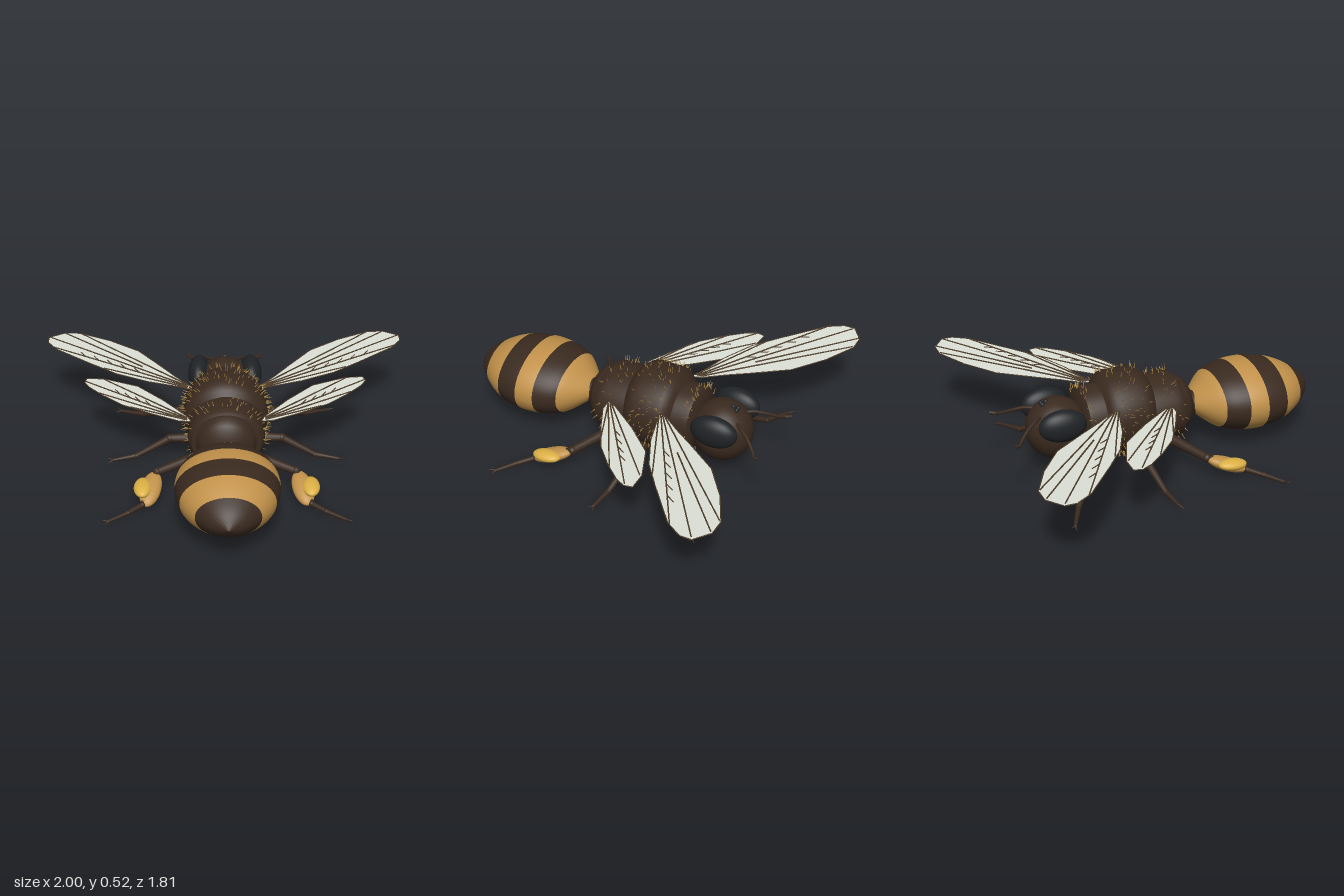
import * as THREE from 'three';
import { mergeGeometries, toCreasedNormals } from 'three/addons/utils/BufferGeometryUtils.js';

const mat = (name, color, extra = {}) => Object.assign(new THREE.MeshStandardMaterial({ color, ...extra }), { name });
const V = (a) => new THREE.Vector3(...a);

export function createModel() {
  const bee = new THREE.Group();
  bee.name = 'bee';
  const brown = mat('body brown', 0x3a2a1f);
  const amber = mat('amber', 0xc1914a);
  const black = mat('eye black', 0x202326);
  const pollen = mat('pollen yellow', 0xdcb045);
  const membrane = mat('wing membrane', 0xdde1d6, { side: THREE.DoubleSide });
  const vein = mat('vein brown', 0x4c3b28);
  const hair = mat('hair tan', 0xa8853f);

  const add = (name, geo, material, parent = bee) => {
    const m = new THREE.Mesh(geo, material);
    m.name = name;
    parent.add(m);
    return m;
  };

  // Body of revolution along z; profile holds [z, radius] pairs
  const turned = (name, profile, cy, sx, sy, material) => {
    const g = new THREE.LatheGeometry(profile.map(([z, r]) => new THREE.Vector2(r, z)), 48);
    g.rotateX(Math.PI / 2).scale(sx, sy, 1).translate(0, cy, 0);
    return add(name, toCreasedNormals(g, 0.6), material);
  };
  const ball = (name, c, r, material, parent, tilt = [0, 0, 0]) => {
    const m = add(name, new THREE.SphereGeometry(1, 32, 20), material, parent);
    m.position.set(...c);
    m.scale.set(...r);
    m.rotation.set(...tilt);
    return m;
  };
  // Tapered round rod between two points, open at the ends
  const rodGeo = (a, b, r0, r1, sides = 14) => {
    const p = V(a), d = V(b).sub(p);
    const g = new THREE.CylinderGeometry(r1, r0, d.length(), sides, 1, true);
    g.translate(0, d.length() / 2, 0);
    g.applyQuaternion(new THREE.Quaternion().setFromUnitVectors(new THREE.Vector3(0, 1, 0), d.normalize()));
    return g.translate(p.x, p.y, p.z);
  };

  // Abdomen: one smooth outline cut into alternating bands
  const outline = new THREE.SplineCurve([[0.21, 0.06], [0.25, 0.115], [0.335, 0.205], [0.43, 0.247], [0.53, 0.26],
    [0.63, 0.247], [0.72, 0.211], [0.8, 0.15], [0.86, 0.085], [0.905, 0]].map((p) => new THREE.Vector2(...p))).getPoints(180);
  const radiusAt = (z) => {
    const i = Math.max(1, outline.findIndex((p) => p.x >= z));
    const a = outline[i - 1], b = outline[i];
    return a.y + (b.y - a.y) * (z - a.x) / (b.x - a.x);
  };
  const cuts = [0.21, 0.335, 0.45, 0.552, 0.672, 0.79, 0.905];
  for (let i = 0; i < 6; i++) {
    const prof = [];
    for (let k = 0; k <= 10; k++) {
      const z = cuts[i] + (cuts[i + 1] - cuts[i]) * k / 10;
      prof.push([z, i === 5 && k === 10 ? 0 : radiusAt(z)]);
    }
    turned('abdomenBand' + (i + 1), prof, 0.25, 1, 0.7, i % 2 ? brown : amber);
  }

  // Waist and thorax segments
  turned('waist', [[0.12, 0.065], [0.235, 0.065]], 0.245, 1, 1, brown);
  turned('rearThorax', [[0.05, 0.165], [0.11, 0.164], [0.145, 0.153], [0.17, 0.132], [0.19, 0.1], [0.203, 0.05], [0.204, 0]], 0.262, 0.97, 0.97, brown);
  turned('backThorax', [[-0.1, 0.195], [-0.04, 0.2], [0.06, 0.2], [0.1, 0.196], [0.12, 0.18], [0.125, 0.14]], 0.265, 1, 0.88, brown);
  turned('middleThorax', [[-0.315, 0.155], [-0.295, 0.19], [-0.265, 0.217], [-0.24, 0.224], [-0.12, 0.224], [-0.09, 0.217], [-0.06, 0.193], [-0.04, 0.165]],
    0.284, 1, 0.965, brown);
  turned('collar', [[-0.415, 0], [-0.413, 0.14], [-0.4, 0.162], [-0.38, 0.166], [-0.27, 0.17]], 0.275, 1, 1, brown);

  // Short bristles standing out from the thorax
  let seed = 7;
  const rnd = () => (seed = (seed * 16807) % 2147483647) / 2147483647;
  const bristles = [];
  const furRing = (count, z0, z1, rx, ry, cy) => {
    for (let i = 0; i < count; i++) {
      const a = rnd() * Math.PI * 2, z = z0 + (z1 - z0) * rnd(), len = 0.015 + 0.02 * rnd();
      const c = Math.cos(a), s = Math.sin(a), lean = (rnd() - 0.5) * 0.024;
      bristles.push(rodGeo([c * (rx - 0.006), cy + s * (ry - 0.006), z],
        [c * (rx + len), cy + s * (ry + len), z + lean], 0.0028, 0.0008, 12));
    }
  };
  furRing(270, -0.27, -0.09, 0.22, 0.212, 0.284);
  furRing(90, -0.03, 0.11, 0.197, 0.173, 0.265);
  furRing(60, -0.41, -0.37, 0.163, 0.163, 0.275);
  add('thoraxHair', mergeGeometries(bristles), hair);

  // Head with simple eyes on the crown
  ball('head', [0, 0.25, -0.53], [0.155, 0.162, 0.16], brown);
  [[-0.011, -0.605], [0.011, -0.605], [0, -0.582]].forEach(([x, z]) =>
    ball('simpleEye', [x, z < -0.6 ? 0.394 : 0.403, z], [0.012, 0.012, 0.012], black));

  // Wing: flat membrane rising outward, with an outline and veins on top
  const wing = (name, s, pts, veins, y0) => {
    const g = new THREE.Group();
    g.name = name;
    bee.add(g);
    const lift = (x) => y0 + 0.03 * Math.abs(x);
    const shape = new THREE.Shape(pts.map(([x, z]) => new THREE.Vector2(s * x, -z)));
    const sheet = new THREE.ShapeGeometry(shape).rotateX(-Math.PI / 2);
    const pos = sheet.attributes.position;
    for (let i = 0; i < pos.count; i++) pos.setY(i, lift(pos.getX(i)));
    sheet.computeVertexNormals();
    add('membrane', sheet, membrane, g);
    const strip = ([x0, z0], [x1, z1], r, up = 0.0045) =>
      rodGeo([s * x0, lift(x0) + up, z0], [s * x1, lift(x1) + up, z1], r, r * 0.8);
    const rods = pts.map((p, i) => strip(p, pts[(i + 1) % pts.length], 0.003, 0));
    veins.forEach(([a, b, barbs]) => {
      rods.push(strip(a, b, 0.004));
      for (let k = 0; k < barbs; k++) {
        const t = 0.35 + 0.1 * k;
        const p = [a[0] + (b[0] - a[0]) * t, a[1] + (b[1] - a[1]) * t];
        rods.push(strip(p, [p[0] + 0.03, p[1] - 0.05], 0.003));
      }
    });
    add('veins', mergeGeometries(rods), vein, g);
  };
  const foreOutline = [[0.18, -0.25], [0.2, -0.31], [0.27, -0.4], [0.36, -0.53], [0.48, -0.695], [0.65, -0.82], [0.82, -0.905],
    [0.91, -0.905], [0.995, -0.845], [0.995, -0.785], [0.94, -0.7], [0.72, -0.52], [0.59, -0.42], [0.41, -0.335], [0.23, -0.28]];
  const foreVeins = [[[0.2, -0.3], [0.82, -0.9], 0], [[0.2, -0.29], [0.985, -0.84], 0], [[0.45, -0.5], [0.91, -0.9], 0],
    [[0.2, -0.28], [0.96, -0.72], 5], [[0.2, -0.27], [0.66, -0.475], 0]];
  const hindOutline = [[0.18, 0.03], [0.2, -0.02], [0.33, -0.19], [0.47, -0.34], [0.65, -0.415], [0.75, -0.42], [0.76, -0.375],
    [0.73, -0.32], [0.65, -0.23], [0.54, -0.13], [0.38, -0.04], [0.245, 0.025]];
  const hindVeins = [[[0.2, 0], [0.66, -0.41], 0], [[0.2, 0.01], [0.755, -0.38], 4], [[0.2, 0.02], [0.67, -0.25], 0], [[0.2, 0.02], [0.5, -0.105], 0]];

  // Leg: rods through the joints, rounded knees and a forked claw
  const leg = (name, joints, radii) => {
    const g = new THREE.Group();
    g.name = name;
    bee.add(g);
    joints.forEach((j, i) => {
      ball('joint', j, Array(3).fill(radii[i] * 1.1), brown, g);
      if (i) add('segment', rodGeo(joints[i - 1], j, radii[i - 1], radii[i]), brown, g);
    });
    const end = V(joints.at(-1)), dir = end.clone().sub(V(joints.at(-2))).normalize();
    for (const k of [-1, 1]) {
      const tip = end.clone().addScaledVector(dir, 0.028).add(new THREE.Vector3(-dir.z * k * 0.013, k > 0 ? 0.01 : -0.004, dir.x * k * 0.013));
      add('claw', rodGeo(end.toArray(), tip.toArray(), 0.006, 0.002), brown, g);
    }
    return g;
  };

  for (const s of [1, -1]) {
    const side = s > 0 ? 'left' : 'right';
    const m = (list) => list.map(([x, y, z]) => [s * x, y, z]);
    ball(side + 'Eye', [s * 0.143, 0.325, -0.545], [0.059, 0.085, 0.124], black, bee, [0, s * 0.06, 0]);
    const feeler = new THREE.CatmullRomCurve3(m([[0.05, 0.35, -0.62], [0.085, 0.348, -0.665], [0.12, 0.33, -0.715],
      [0.165, 0.302, -0.765], [0.195, 0.29, -0.79], [0.205, 0.296, -0.82]]).map(V));
    add(side + 'Antenna', new THREE.TubeGeometry(feeler, 24, 0.0085, 12), brown);
    wing(side + 'Forewing', s, foreOutline, foreVeins, 0.365);
    wing(side + 'Hindwing', s, hindOutline, hindVeins, 0.332);
    leg(side + 'Foreleg', m([[0.1, 0.18, -0.36], [0.26, 0.15, -0.425], [0.45, 0.037, -0.585], [0.59, 0.02, -0.655]]), [0.027, 0.021, 0.014, 0.008]);
    leg(side + 'MiddleLeg', m([[0.13, 0.125, -0.17], [0.3, 0.125, -0.165], [0.48, 0.034, -0.137], [0.603, 0.018, -0.12]]), [0.03, 0.021, 0.014, 0.008]);
    const hind = leg(side + 'HindLeg', m([[0.15, 0.135, 0.04], [0.36, 0.105, 0.145], [0.43, 0.03, 0.34], [0.5, 0.022, 0.4], [0.594, 0.016, 0.465]]),
      [0.028, 0.021, 0.014, 0.012, 0.008]);
    // Broad shin carrying a pollen load
    ball('shin', [s * 0.39, 0.064, 0.245], [0.054, 0.034, 0.112], amber, hind, [0.36, s * 0.2, 0]);
    ball('pollenLoad', [s * 0.43, 0.08, 0.255], [0.046, 0.028, 0.078], pollen, hind, [0.08, 0, 0]);
  }
  return bee;
}
